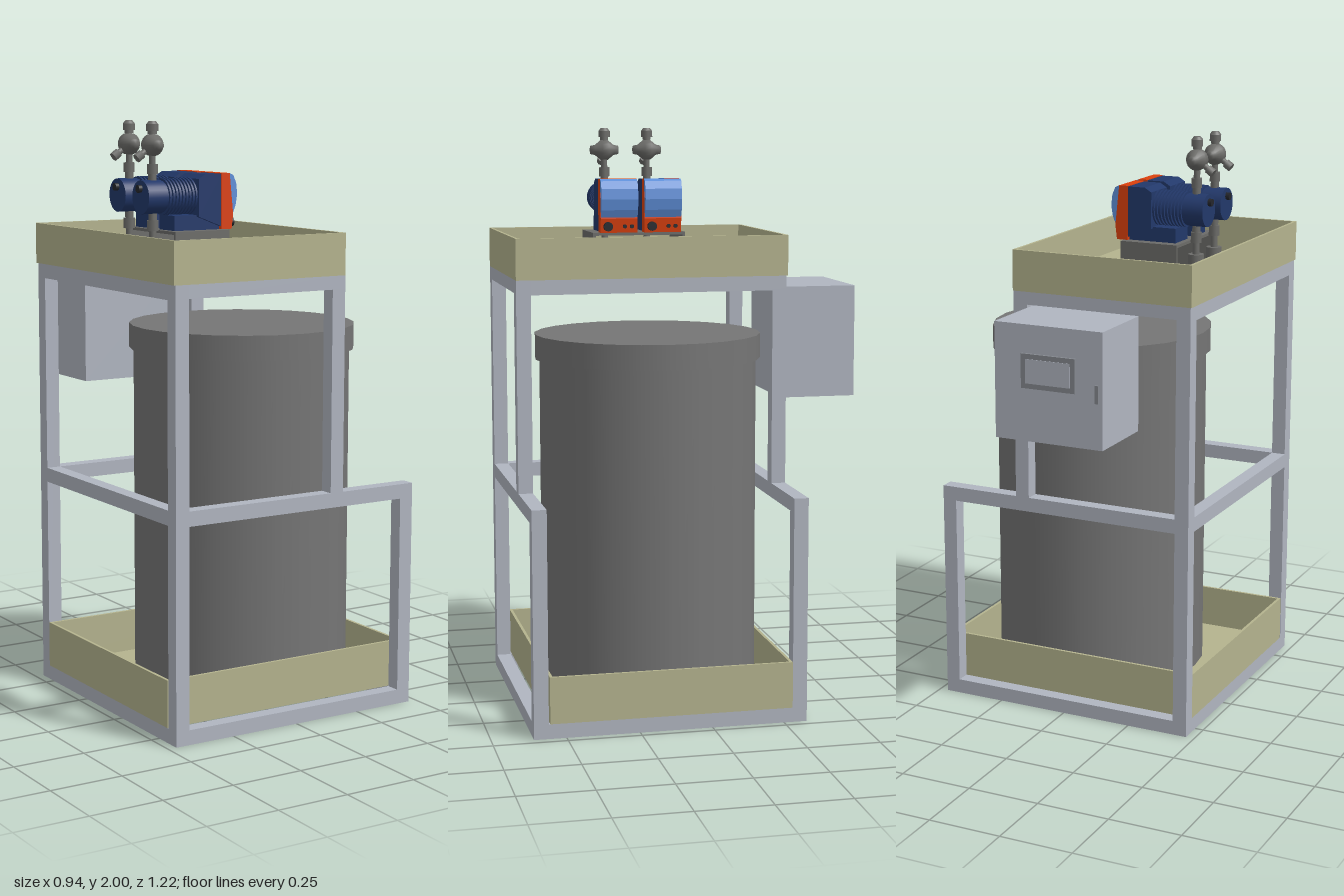
import * as THREE from 'three';

const mat = (name, color) => {
  const m = new THREE.MeshStandardMaterial({ color });
  m.name = name;
  return m;
};

export function createModel() {
  const steel = mat('frameGrey', 0xb0b5c0);
  const beige = mat('trayBeige', 0xb4b38e);
  const tankGrey = mat('tankGrey', 0x757575);
  const metal = mat('fittingGrey', 0x6c6c69);
  const navy = mat('navy', 0x22386a);
  const blue = mat('lightBlue', 0x5f90da);
  const orange = mat('orange', 0xdc400c);
  const black = mat('black', 0x24262b);
  const panelGrey = mat('panelGrey', 0x85898f);

  const root = new THREE.Group();
  const group = (name, parent = root) => {
    const g = new THREE.Group();
    g.name = name;
    parent.add(g);
    return g;
  };
  const add = (parent, name, geo, material, x = 0, y = 0, z = 0) => {
    const m = new THREE.Mesh(geo, material);
    m.name = name;
    m.position.set(x, y, z);
    parent.add(m);
    return m;
  };
  // Box given by its minimum and maximum on each axis
  const box = (parent, name, material, x0, x1, y0, y1, z0, z1) =>
    add(parent, name, new THREE.BoxGeometry(x1 - x0, y1 - y0, z1 - z0), material,
      (x0 + x1) / 2, (y0 + y1) / 2, (z0 + z1) / 2);
  // Cylinder between two positions along one axis
  const rod = (parent, name, material, axis, a, b, r, c, sides = 20, r2 = r) => {
    const g = new THREE.CylinderGeometry(r2, r, b - a, sides);
    const mid = (a + b) / 2;
    if (axis === 'x') return add(parent, name, g.rotateZ(-Math.PI / 2), material, mid, c[0], c[1]);
    if (axis === 'z') return add(parent, name, g.rotateX(Math.PI / 2), material, c[0], c[1], mid);
    return add(parent, name, g, material, c[0], mid, c[1]);
  };

  // Frame of square tube, t thick
  const t = 0.05, X0 = -0.47, X1 = 0.47, XS = 0.18, Z0 = -0.33, Z1 = 0.61;
  const frame = group('frame');
  for (const [z, side] of [[Z0, 'Back'], [Z1 - t, 'Front']]) {
    box(frame, 'tallPost' + side, steel, X0, X0 + t, 0, 1.5, z, z + t);
    box(frame, 'shortPost' + side, steel, X1 - t, X1, 0, 0.775, z, z + t);
    box(frame, 'upperPost' + side, steel, XS - t, XS, 0.775, 1.455, z, z + t);
    box(frame, 'bottomBeam' + side, steel, X0 + t, X1 - t, 0, t, z, z + t);
    box(frame, 'middleBeam' + side, steel, X0 + t, X1 - t, 0.725, 0.775, z, z + t);
    box(frame, 'topBeam' + side, steel, X0 + t, XS, 1.455, 1.5, z, z + t);
  }
  for (const [x, y, name] of [[X0, 0, 'bottomBeamRight'], [X1 - t, 0, 'bottomBeamLeft'],
    [X0, 0.725, 'middleBeamRight'], [X0, 1.45, 'topBeamRight'], [XS - t, 1.45, 'topBeamLeft']])
    box(frame, name, steel, x, x + t, y, y + t, Z0 + t, Z1 - t);
  for (const z of [-0.015, 0.295])
    box(frame, 'floorBeam', steel, X0 + t, X1 - t, 0, t, z - t / 2, z + t / 2);

  // Open trays
  const tray = (name, x0, x1, y0, y1, z0, z1) => {
    const g = group(name), w = 0.01;
    box(g, 'trayFloor', beige, x0, x1, y0, y0 + w, z0, z1);
    for (const x of [x0, x1 - w]) box(g, 'traySide', beige, x, x + w, y0 + w, y1, z0, z1);
    for (const z of [z0, z1 - w]) box(g, 'trayEnd', beige, x0 + w, x1 - w, y0 + w, y1, z, z + w);
  };
  tray('lowerTray', X0, X1, 0.05, 0.21, -0.28, 0.555);
  tray('upperTray', -0.475, XS, 1.5, 1.64, -0.335, 0.61);

  // Tank and lid
  const tank = group('tank');
  rod(tank, 'tankBody', tankGrey, 'y', 0.06, 1.22, 0.375, [0.077, 0.14], 24);
  rod(tank, 'tankLid', tankGrey, 'y', 1.22, 1.305, 0.39, [0.077, 0.14], 24);

  // Control cabinet on the back
  const cabinet = group('controlCabinet');
  box(cabinet, 'cabinetBody', steel, -0.285, 0.105, 1.065, 1.455, -0.6, -0.33);
  box(cabinet, 'displayFrame', panelGrey, -0.19, 0.005, 1.245, 1.36, -0.609, -0.6);
  box(cabinet, 'displayScreen', steel, -0.173, -0.012, 1.262, 1.343, -0.611, -0.608);
  box(cabinet, 'doorHandle', panelGrey, -0.272, -0.26, 1.22, 1.28, -0.606, -0.6);

  // Pump bracket, an inverted channel
  const bracket = group('pumpBracket');
  box(bracket, 'bracketTop', metal, -0.285, -0.075, 1.63, 1.64, -0.03, 0.3);
  for (const z of [-0.03, 0.29]) box(bracket, 'bracketLeg', metal, -0.285, -0.075, 1.51, 1.63, z, z + 0.01);

  // Side profile extruded across the pump width
  const slab = (parent, name, material, points, width) => {
    const s = new THREE.Shape(points.map(p => new THREE.Vector2(...p)));
    const g = new THREE.ExtrudeGeometry(s, { depth: width, bevelEnabled: false });
    return add(parent, name, g, material, 0, 0, -width / 2);
  };

  const makePump = z => {
    const pump = group('pump');
    pump.position.z = z;
    const px = -0.32, py = 1.752;

    // Drive housing, control face and cover
    box(pump, 'pumpFoot', navy, -0.265, -0.09, 1.64, 1.69, -0.05, 0.05);
    slab(pump, 'gearHousing', navy, [[-0.18, 1.685], [-0.09, 1.65], [-0.09, 1.825], [-0.155, 1.825], [-0.18, 1.81]], 0.128);
    slab(pump, 'controlFace', orange, [[-0.093, 1.641], [-0.052, 1.641], [-0.046, 1.69], [-0.06, 1.827], [-0.093, 1.827]], 0.131);
    slab(pump, 'frontCover', blue, [[-0.047, 1.693], [-0.036, 1.72], [-0.03, 1.757], [-0.034, 1.793],
      [-0.045, 1.82], [-0.06, 1.827]], 0.13);
    rod(pump, 'controlKnob', black, 'x', -0.052, -0.035, 0.016, [1.663, 0.04]);
    for (const dz of [-0.02, -0.045]) rod(pump, 'controlPort', black, 'x', -0.052, -0.043, 0.007, [1.663, dz], 12);

    // Finned motor
    rod(pump, 'motorCore', navy, 'x', -0.295, -0.17, 0.053, [py, 0], 28);
    for (let i = 0; i < 9; i++) {
      const x = -0.288 + i * 0.0125;
      rod(pump, 'coolingFin', navy, 'x', x, x + 0.006, 0.061, [py, 0], 28);
    }

    // Dosing head
    rod(pump, 'dosingHead', navy, 'x', -0.365, -0.295, 0.056, [py, 0], 28);
    rod(pump, 'headScrew', black, 'x', -0.378, -0.365, 0.013, [1.78, 0], 12);

    // Suction fitting below the head
    rod(pump, 'suctionValve', metal, 'y', 1.51, 1.6, 0.027, [px, 0]);
    rod(pump, 'suctionNeck', metal, 'y', 1.6, 1.64, 0.012, [px, 0]);
    rod(pump, 'suctionNut', metal, 'y', 1.64, 1.675, 0.02, [px, 0], 8);
    rod(pump, 'suctionPipe', metal, 'y', 1.675, 1.7, 0.014, [px, 0]);

    // Discharge line and relief valve above the head
    rod(pump, 'dischargeBase', metal, 'y', 1.8, 1.828, 0.014, [px, 0]);
    rod(pump, 'dischargeNut', metal, 'y', 1.828, 1.86, 0.019, [px, 0], 8);
    rod(pump, 'dischargePipe', metal, 'y', 1.86, 1.97, 0.011, [px, 0]);
    const profile = [[0, -0.05], [0.015, -0.05], [0.018, -0.034], [0.036, -0.012], [0.036, 0.012],
      [0.018, 0.034], [0.015, 0.05], [0, 0.05]].map(p => new THREE.Vector2(...p));
    add(pump, 'reliefValve', new THREE.LatheGeometry(profile, 20).rotateX(Math.PI / 2), metal, px, 1.922, 0);
    const branch = group('reliefOutlet', pump);
    branch.position.set(px, 1.922, 0);
    branch.rotation.z = 0.62;
    rod(branch, 'outletPipe', metal, 'x', -0.06, 0, 0.01, [0, 0], 12);
    rod(branch, 'outletNut', metal, 'x', -0.074, -0.05, 0.016, [0, 0], 8);
    rod(pump, 'topCollar', metal, 'y', 1.958, 1.968, 0.015, [px, 0]);
    rod(pump, 'topNut', metal, 'y', 1.968, 1.99, 0.021, [px, 0], 8);
    rod(pump, 'topCap', metal, 'y', 1.99, 2, 0.02, [px, 0], 20, 0.012);
  };
  makePump(0.056);
  makePump(0.212);

  return root;
}
